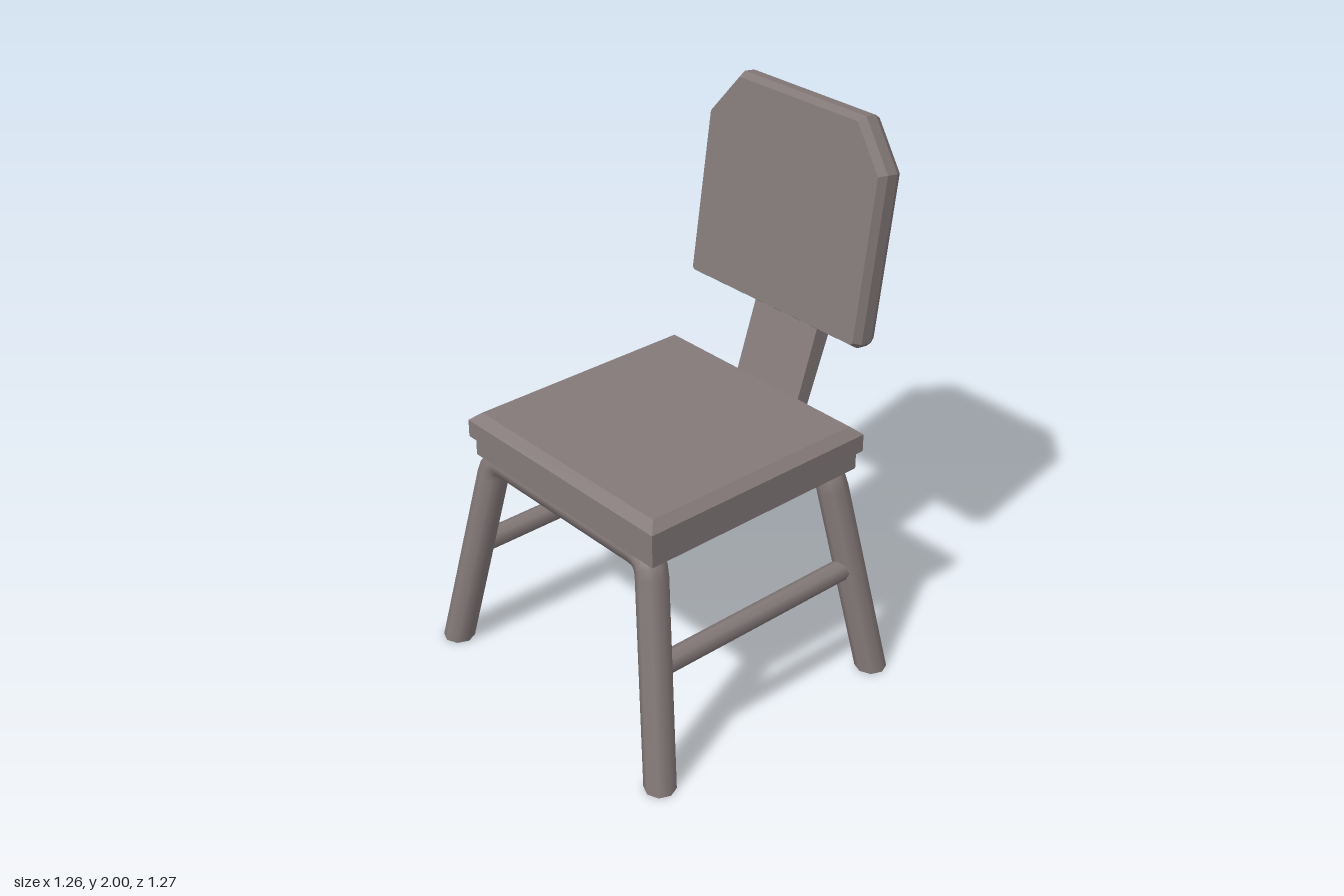
import * as THREE from 'three';

const material = new THREE.MeshStandardMaterial({ color: 0x847979 });
const capMaterial = new THREE.MeshStandardMaterial({ color: 0x847979, side: THREE.DoubleSide });

function addMesh(parent, name, geometry, mat = material) {
  const mesh = new THREE.Mesh(geometry, mat);
  mesh.name = name;
  parent.add(mesh);
  return mesh;
}

// Hard-edged facets
function faceted(geometry) {
  const flat = geometry.index ? geometry.toNonIndexed() : geometry;
  flat.computeVertexNormals();
  return flat;
}

// Path whose samples fall exactly on the given points
class BentPath extends THREE.Curve {
  constructor(points) {
    super();
    this.points = points;
  }
  getPointAt(u) {
    return this.points[Math.round(u * (this.points.length - 1))].clone();
  }
  getTangentAt(u) {
    const last = this.points.length - 1;
    const i = Math.round(u * last);
    const a = this.points[Math.max(i - 1, 0)];
    const b = this.points[Math.min(i + 1, last)];
    return b.clone().sub(a).normalize();
  }
}

// One tube bent into two splayed legs and the bar under the seat
function legArch(name, footZ, topZ) {
  const group = new THREE.Group();
  group.name = name;
  const sides = 8;
  const foot = new THREE.Vector3(0.568, 0, footZ);
  const corner = new THREE.Vector3(0.412, 0.798, topZ);
  const start = corner.clone().lerp(foot, 0.085);
  const end = corner.clone().setX(0.345);
  const bend = new THREE.QuadraticBezierCurve3(start, corner, end);
  const half = [foot, ...bend.getPoints(4)];
  const mirrored = half.map((p) => new THREE.Vector3(-p.x, p.y, p.z)).reverse();
  const points = [...half, ...mirrored];
  const tube = new THREE.TubeGeometry(new BentPath(points), points.length - 1, 0.056, sides, false);
  const pos = tube.attributes.position;
  const ring = sides + 1;

  // Slide both end rings along their legs so the feet sit flat on the floor
  for (const [first, side] of [[0, 1], [pos.count - ring, -1]]) {
    const dir = start.clone().sub(foot);
    dir.x *= side;
    const cap = [side * foot.x, 0, footZ];
    const faces = [];
    for (let i = 0; i < ring; i++) {
      const t = pos.getY(first + i) / dir.y;
      pos.setXYZ(first + i, pos.getX(first + i) - dir.x * t, 0, pos.getZ(first + i) - dir.z * t);
      cap.push(pos.getX(first + i), 0, pos.getZ(first + i));
      if (i < sides) faces.push(0, i + 1, i + 2);
    }
    const capGeometry = new THREE.BufferGeometry();
    capGeometry.setAttribute('position', new THREE.Float32BufferAttribute(cap, 3));
    capGeometry.setIndex(faces);
    capGeometry.computeVertexNormals();
    addMesh(group, 'footEnd', capGeometry, capMaterial);
  }
  addMesh(group, 'legTube', tube);
  return group;
}

// Seat cushion: box with its top edge chamfered
function seatPad() {
  const geometry = new THREE.BoxGeometry(0.97, 0.095, 0.95, 1, 2, 1);
  const pos = geometry.attributes.position;
  for (let i = 0; i < pos.count; i++) {
    const y = pos.getY(i);
    if (y > 0.01) {
      pos.setX(i, pos.getX(i) - Math.sign(pos.getX(i)) * 0.035);
      pos.setZ(i, pos.getZ(i) - Math.sign(pos.getZ(i)) * 0.035);
    } else if (y > -0.01) pos.setY(i, 0.0175);
  }
  return faceted(geometry);
}

// Back support: flat bar, bent above the seat and clipped at the top
function backSupport() {
  // half width, front y, front z, back y, back z
  const rows = [
    [0.155, 0.81, -0.375, 0.81, -0.432],
    [0.155, 1.21, -0.507, 1.17, -0.565],
    [0.155, 1.54, -0.552, 1.54, -0.604],
    [0.085, 1.625, -0.562, 1.625, -0.613],
  ];
  const geometry = new THREE.BoxGeometry(2, 3, 2, 1, 3, 1);
  const pos = geometry.attributes.position;
  for (let i = 0; i < pos.count; i++) {
    const [w, fy, fz, by, bz] = rows[Math.round(pos.getY(i) + 1.5)];
    const front = pos.getZ(i) > 0;
    pos.setXYZ(i, pos.getX(i) * w, front ? fy : by, front ? fz : bz);
  }
  return faceted(geometry);
}

// Backrest panel: bevelled plate with clipped upper corners
function backrest() {
  const w = 0.417, h = 0.388, c = 0.018;
  const half = [[w - c, -h], [w, -h + c], [w, 0.225], [0.288, h]];
  const outline = [...half, ...half.map(([x, y]) => [-x, y]).reverse()];
  const shape = new THREE.Shape(outline.map(([x, y]) => new THREE.Vector2(x, y)));
  const geometry = new THREE.ExtrudeGeometry(shape, {
    depth: 0.045, bevelEnabled: true, bevelSegments: 1,
    bevelSize: 0.016, bevelOffset: -0.016, bevelThickness: 0.03,
  });
  geometry.translate(0, 0, -0.0225);
  return faceted(geometry);
}

export function createModel() {
  const model = new THREE.Group();
  model.name = 'chair';
  const chair = new THREE.Group();
  chair.name = 'chairBody';
  chair.rotation.y = -0.0103;
  model.add(chair);

  // Seat
  const frame = addMesh(chair, 'seatFrame', new THREE.BoxGeometry(0.935, 0.075, 0.92));
  frame.position.set(0.012, 0.8475, 0.063);
  addMesh(chair, 'seatPad', seatPad()).position.set(0.01, 0.9275, 0.062);

  // Back
  addMesh(chair, 'backSupport', backSupport()).position.x = 0.015;
  const panel = addMesh(chair, 'backrest', backrest());
  panel.position.set(0.012, 1.612, -0.525);
  panel.rotation.x = -0.14;

  // Legs and side rails
  chair.add(legArch('frontLegs', 0.572, 0.47), legArch('backLegs', -0.437, -0.337));
  for (const [name, side] of [['leftRail', 1], ['rightRail', -1]]) {
    const rail = new THREE.CylinderGeometry(0.039, 0.039, 0.9, 8);
    rail.rotateX(Math.PI / 2);
    addMesh(chair, name, rail).position.set(side * 0.487, 0.418, 0.067);
  }
  return model;
}
